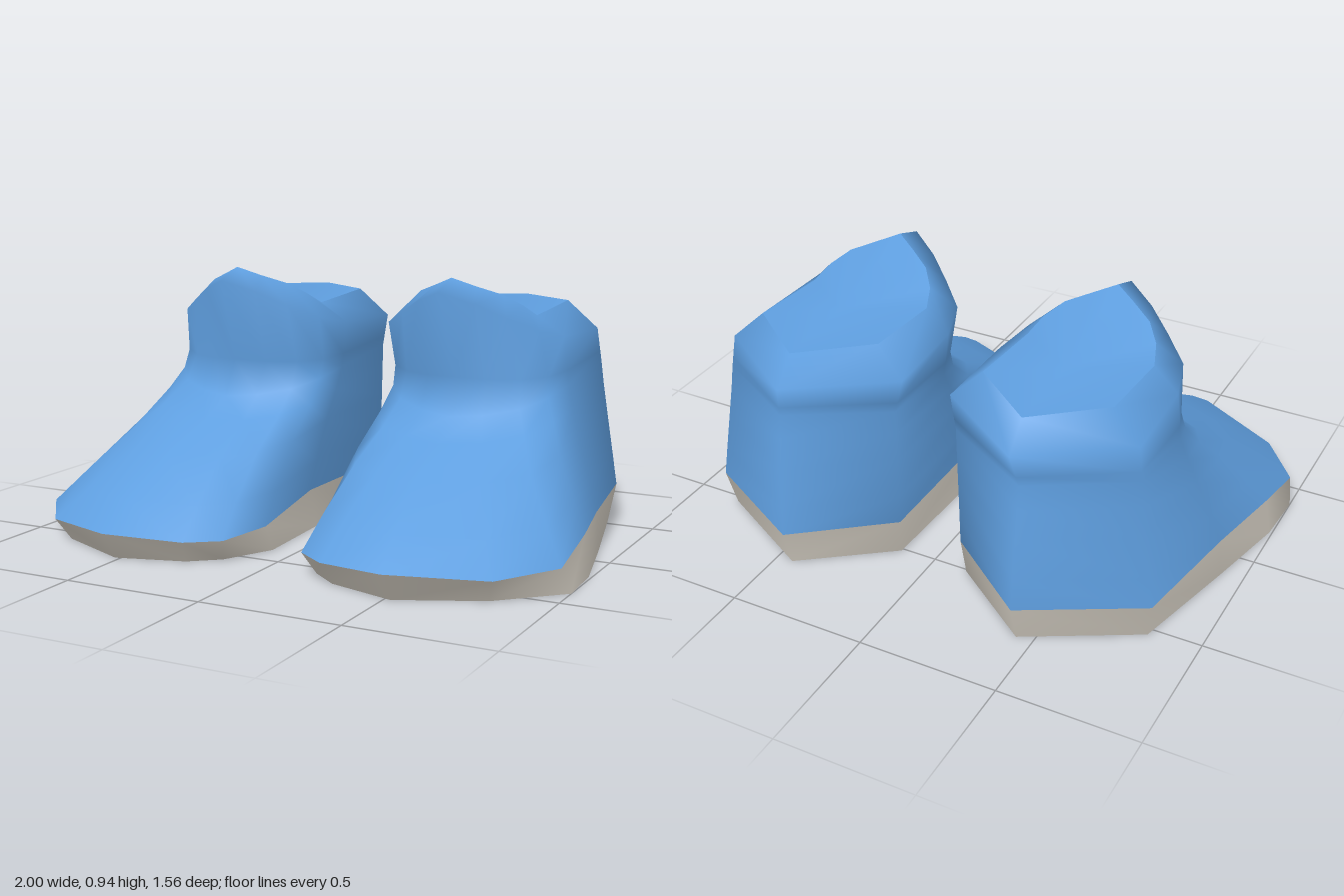
import * as THREE from 'three';

const fabric = new THREE.MeshStandardMaterial({ color: 0x5f9fe0 });
fabric.name = 'blue fabric';
const rubber = new THREE.MeshStandardMaterial({ color: 0xd2ccc1 });
rubber.name = 'pale rubber';

// Every ring has 12 points [x, y, z]: toe, outer side, heel, inner side.
const soleBottom = [
  [0.52, 0, 0.71], [0.8, 0, 0.58], [1, 0, 0.39], [0.99, 0, 0.19], [0.92, 0, -0.12], [0.82, 0, -0.53],
  [0.44, 0, -0.74], [0.13, 0, -0.51], [0.11, 0, 0.02], [0.09, 0, 0.38], [0.18, 0, 0.56], [0.28, 0, 0.64],
];
const soleTop = [
  [0.52, 0.1, 0.78], [0.83, 0.08, 0.63], [0.98, 0.09, 0.43], [0.97, 0.14, 0.18], [0.91, 0.14, -0.12], [0.84, 0.14, -0.56],
  [0.44, 0.14, -0.78], [0.12, 0.14, -0.53], [0.12, 0.14, 0.05], [0.1, 0.09, 0.41], [0.15, 0.08, 0.61], [0.26, 0.08, 0.69],
];

// Completes a symmetric ring from its outer half (toe to heel)
function mirrorHalf(half) {
  const cx = half[0][0];
  const inner = half.slice(1, -1).reverse().map(([x, y, z]) => [2 * cx - x, y, z]);
  return [...half, ...inner];
}
const ankle = mirrorHalf([
  [0.445, 0.47, 0.1], [0.56, 0.48, 0.07], [0.67, 0.5, 0.01], [0.74, 0.53, -0.08], [0.77, 0.56, -0.2], [0.775, 0.6, -0.54], [0.445, 0.6, -0.735],
]);
const collar = mirrorHalf([
  [0.425, 0.9, 0.155], [0.53, 0.86, 0.09], [0.62, 0.81, 0.02], [0.71, 0.76, -0.06], [0.75, 0.73, -0.2], [0.76, 0.72, -0.53], [0.425, 0.72, -0.765],
]);
const rim = mirrorHalf([
  [0.425, 0.94, 0.04], [0.5, 0.91, 0], [0.58, 0.88, -0.05], [0.63, 0.84, -0.11], [0.655, 0.8, -0.18], [0.655, 0.82, -0.5], [0.425, 0.815, -0.68],
]);

// Blends two rings with a separate weight for each axis
function blend(a, b, w) {
  return a.map((p, i) => p.map((v, k) => v + (b[i][k] - v) * w[k]));
}

function makeMesh(name, points, faces, side, material) {
  const geometry = new THREE.BufferGeometry();
  const flat = points.flatMap(([x, y, z]) => [x * side, y, z]);
  geometry.setAttribute('position', new THREE.Float32BufferAttribute(flat, 3));
  geometry.setIndex(faces.flatMap(([a, b, c]) => (side > 0 ? [a, b, c] : [a, c, b])));
  geometry.computeVertexNormals();
  const mesh = new THREE.Mesh(geometry, material);
  mesh.name = name;
  return mesh;
}

// Skin through stacked rings, from bottom to top
function loft(name, rings, side, material) {
  const n = rings[0].length;
  const faces = [];
  for (let r = 0; r < rings.length - 1; r++) {
    for (let i = 0; i < n; i++) {
      const a = r * n + i, b = r * n + (i + 1) % n;
      faces.push([a, b, b + n], [a, b + n, a + n]);
    }
  }
  return makeMesh(name, rings.flat(), faces, side, material);
}

// Fan closing a ring around a centre point
function cap(name, ring, centre, up, side, material) {
  const n = ring.length;
  const faces = ring.map((_, i) => (up ? [n, i, (i + 1) % n] : [n, (i + 1) % n, i]));
  return makeMesh(name, [...ring, centre], faces, side, material);
}

function makeShoe(side) {
  const shoe = new THREE.Group();
  shoe.name = side > 0 ? 'leftShoe' : 'rightShoe';

  // Vamp rings slope from the sole to the ankle
  const vamp = [[0.25, 0.24, 0.19], [0.6, 0.57, 0.5], [0.84, 0.81, 0.81]].map((w) => blend(soleTop, ankle, w));
  // Neck is pinched in at the front, below the flared tongue
  const neck = blend(ankle, collar, [0.3, 0.3, 0.3])
    .map(([x, y, z]) => [x, y, z - 0.07 * Math.max(0, (z + 0.2) / 0.3)]);

  shoe.add(
    loft('soleSide', [soleBottom, soleTop], side, rubber),
    cap('soleUnderside', soleBottom, [0.5, 0, 0], false, side, rubber),
    loft('upper', [soleTop, ...vamp, ankle, neck, collar, rim], side, fabric),
    cap('opening', rim, [0.425, 0.83, -0.37], true, side, fabric),
  );
  return shoe;
}

export function createModel() {
  const model = new THREE.Group();
  model.name = 'pairOfShoes';
  for (const side of [1, -1]) model.add(makeShoe(side));
  return model;
}
